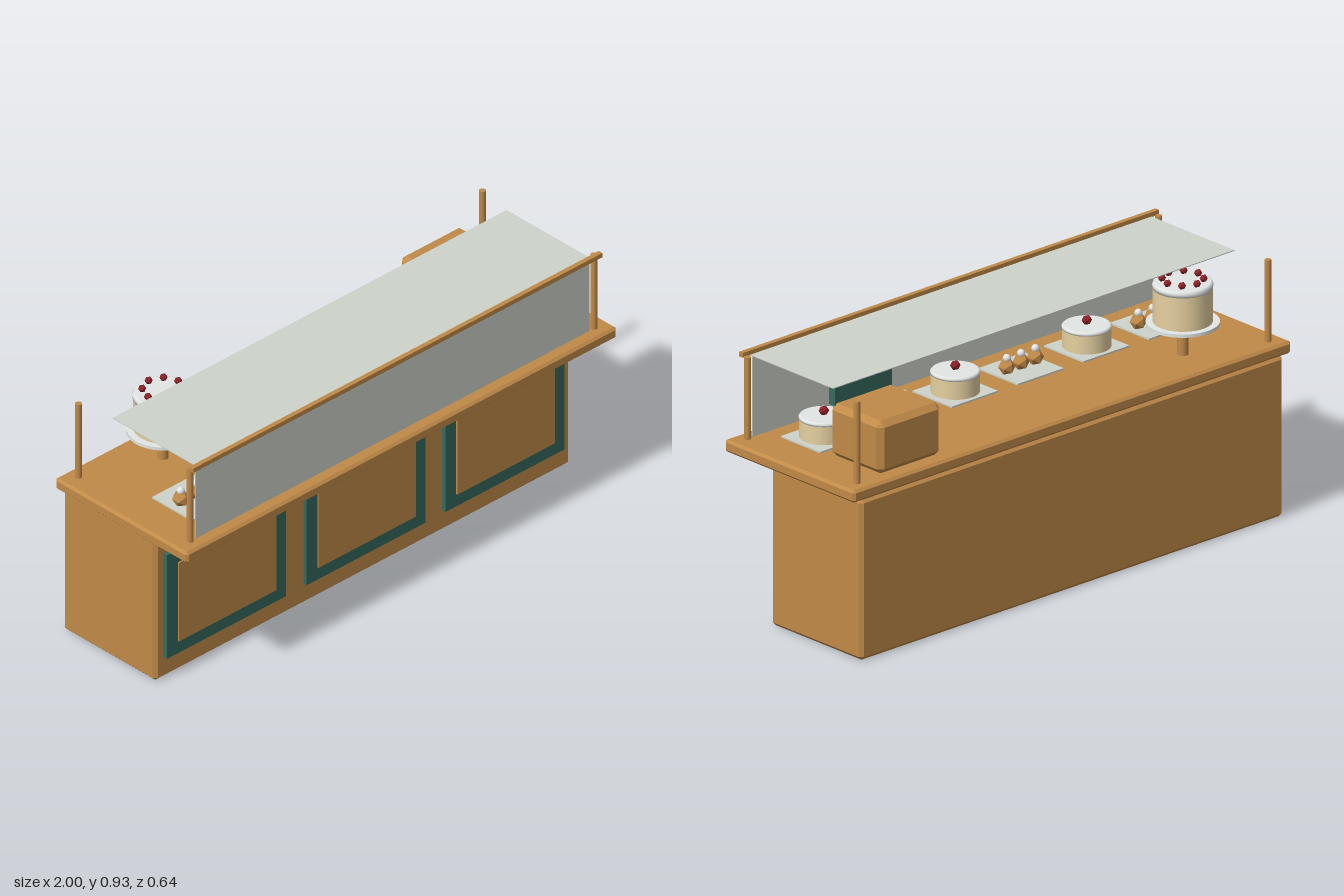
import * as THREE from 'three';
import { ConvexGeometry } from 'three/addons/geometries/ConvexGeometry.js';

const mat = (name, color, extra = {}) => {
  const m = new THREE.MeshStandardMaterial({ color, ...extra });
  m.name = name;
  return m;
};

export function createModel() {
  const wood = mat('wood', 0xc18a48);
  const teal = mat('teal', 0x34695e);
  const glass = mat('glass', 0xced3ca, { side: THREE.DoubleSide });
  const icing = mat('icing', 0xe2e6e4);
  const sponge = mat('sponge', 0xe6d0a0);
  const cherry = mat('cherry', 0x8c1f26);

  const model = new THREE.Group();
  model.name = 'bakeryCounter';

  const add = (parent, name, geometry, material, x, y, z) => {
    const mesh = new THREE.Mesh(geometry, material);
    mesh.name = name;
    mesh.position.set(x, y, z);
    parent.add(mesh);
    return mesh;
  };

  const group = (name, x, y, z) => {
    const g = new THREE.Group();
    g.name = name;
    g.position.set(x, y, z);
    model.add(g);
    return g;
  };

  const box = (w, h, d) => new THREE.BoxGeometry(w, h, d);
  const disc = (r, h, sides = 32) => new THREE.CylinderGeometry(r, r, h, sides);

  // Box with every edge cut at 45 degrees
  const chamferBox = (w, h, d, c) => {
    const points = [];
    for (const sx of [-1, 1]) for (const sy of [-1, 1]) for (const sz of [-1, 1]) {
      const x = sx * w / 2, y = sy * h / 2, z = sz * d / 2;
      points.push(
        new THREE.Vector3(x, y - sy * c, z - sz * c),
        new THREE.Vector3(x - sx * c, y, z - sz * c),
        new THREE.Vector3(x - sx * c, y - sy * c, z));
    }
    return new ConvexGeometry(points);
  };

  // Counter body and overhanging top
  add(model, 'counterBody', chamferBox(1.93, 0.582, 0.45, 0.013), wood, 0, 0.291, -0.095);
  add(model, 'counterTop', chamferBox(2, 0.045, 0.642, 0.009), wood, 0, 0.602, 0);

  // Framed front panels
  for (const x of [-0.648, 0, 0.645]) {
    const panel = group('frontPanel', x, 0.292, 0);
    add(panel, 'panelFrame', box(0.553, 0.415, 0.02), teal, 0, 0, 0.136);
    add(panel, 'panelInset', box(0.453, 0.315, 0.02), wood, 0, 0, 0.142);
  }

  // Corner posts and front rail
  for (const x of [-0.938, 0.938]) for (const z of [-0.269, 0.271]) {
    add(model, 'post', disc(0.012, 0.3, 12), wood, x, 0.77, z);
  }
  add(model, 'rail', box(1.9, 0.017, 0.018), wood, 0, 0.925, 0.291);

  // Glass guard
  add(model, 'frontGlass', box(1.83, 0.295, 0.003), glass, 0, 0.77, 0.273);
  add(model, 'topGlass', box(1.83, 0.003, 0.412), glass, 0, 0.917, 0.078);

  // Till with its display
  add(model, 'tillBody', chamferBox(0.285, 0.19, 0.255, 0.02), wood, 0.707, 0.724, -0.161);
  add(model, 'tillDisplay', box(0.26, 0.092, 0.03), teal, 0.707, 0.855, -0.037);

  // Two-layer cake, standing on y = 0 of its group
  const addCake = (parent, r, height, cap, lift) => {
    add(parent, 'cakeSponge', disc(r, height - cap, 36), sponge, 0, lift + (height - cap) / 2, 0);
    const profile = [[0, 0], [r + 0.001, 0], [r + 0.002, cap * 0.55], [r - 0.002, cap * 0.9], [r - 0.007, cap], [0, cap]]
      .map(([a, b]) => new THREE.Vector2(a, b));
    add(parent, 'cakeIcing', new THREE.LatheGeometry(profile, 36), icing, 0, lift + height - cap, 0);
  };

  // Tall cake on a pedestal
  const stand = group('cakeStand', -0.65, 0.624, -0.16);
  add(stand, 'standStem', disc(0.019, 0.115, 16), wood, 0, 0.0575, 0);
  add(stand, 'standPlate', disc(0.125, 0.012, 36), icing, 0, 0.115, 0);
  addCake(stand, 0.101, 0.143, 0.022, 0.121);
  for (let i = 0; i < 8; i++) {
    const a = i * Math.PI / 4;
    add(stand, 'cherry', new THREE.IcosahedronGeometry(0.014, 0), cherry,
      0.07 * Math.cos(a), 0.275, 0.07 * Math.sin(a));
  }

  // Trays in a row: cakes and buns take turns
  for (let i = 0; i < 6; i++) {
    const tray = group(i % 2 ? 'cakeTray' : 'bunTray', -0.75 + i * 0.3, 0.624, 0.098);
    add(tray, 'tray', box(0.21, 0.006, 0.195), glass, 0, 0.007, 0);
    if (i % 2) {
      addCake(tray, 0.083, 0.078, 0.013, 0.01);
      add(tray, 'cherry', new THREE.IcosahedronGeometry(0.018, 0), cherry, 0, 0.102, 0);
    } else {
      for (const x of [-0.065, 0, 0.065]) {
        add(tray, 'bun', new THREE.IcosahedronGeometry(0.03, 0), wood, x, 0.033, 0);
        add(tray, 'bunIcing', new THREE.SphereGeometry(0.014, 10, 8), icing, x, 0.064, 0);
      }
    }
  }

  return model;
}
